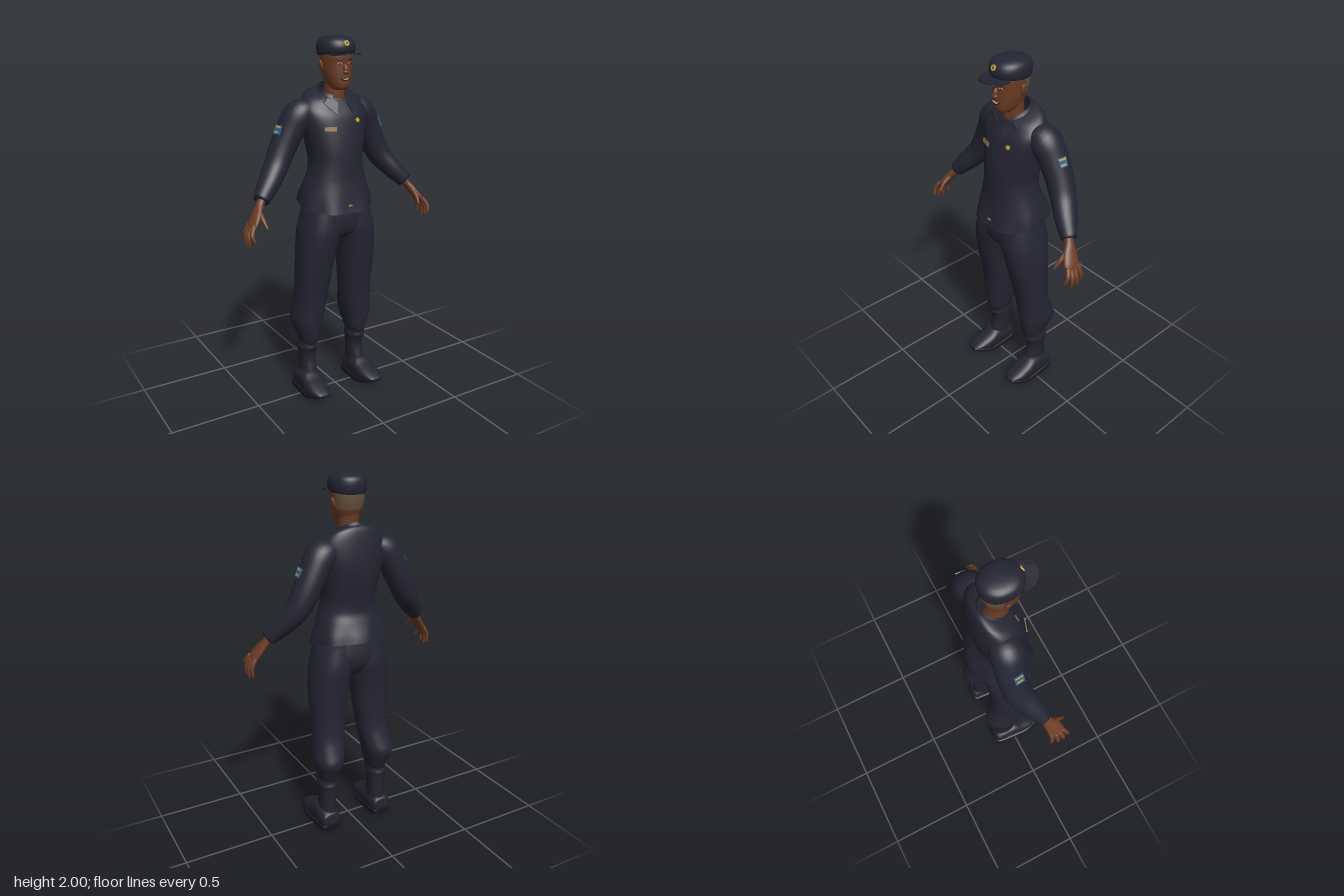
import * as THREE from 'three';
import { mergeVertices } from 'three/addons/utils/BufferGeometryUtils.js';

const mat = (name, color, side = THREE.FrontSide) => {
  const m = new THREE.MeshStandardMaterial({ color, side });
  m.name = name;
  return m;
};

// Catmull-Rom smoothing of rows of numbers
function smooth(rows, sub) {
  const out = [];
  const at = (i) => rows[Math.min(Math.max(i, 0), rows.length - 1)];
  for (let i = 0; i < rows.length - 1; i++) {
    for (let k = 0; k < sub; k++) {
      const t = k / sub;
      out.push(rows[i].map((b, n) => {
        const a = at(i - 1)[n], c = at(i + 1)[n], d = at(i + 2)[n];
        return b + 0.5 * t * (c - a + t * (2 * a - 5 * b + 4 * c - d + t * (3 * (b - c) + d - a)));
      }));
    }
  }
  out.push(rows[rows.length - 1]);
  return out;
}

// Surface over a list of cross-sections, each a list of points
function skin(sections, closed, capped) {
  const n = sections[0].length, pos = [], idx = [];
  sections.forEach((s) => s.forEach((p) => pos.push(p.x, p.y, p.z)));
  for (let i = 0; i < sections.length - 1; i++) {
    for (let j = 0; j < (closed ? n : n - 1); j++) {
      const k = (j + 1) % n, a = i * n + j, b = i * n + k;
      idx.push(a, b, b + n, a, b + n, a + n);
    }
  }
  if (capped) {
    [0, sections.length - 1].forEach((r, top) => {
      const c = new THREE.Vector3();
      sections[r].forEach((p) => c.addScaledVector(p, 1 / n));
      const ci = pos.length / 3;
      pos.push(c.x, c.y, c.z);
      for (let j = 0; j < n; j++) {
        const a = r * n + j, b = r * n + ((j + 1) % n);
        if (top) idx.push(ci, a, b); else idx.push(ci, b, a);
      }
    });
  }
  const g = new THREE.BufferGeometry();
  g.setAttribute('position', new THREE.Float32BufferAttribute(pos, 3));
  g.setIndex(idx);
  g.computeVertexNormals();
  return g;
}

// Upright loft, rows are [y, xMin, xMax, zFront, zBack]
function loft(rows, { p = 2, seg = 32, sub = 4, from = 0, to = Math.PI * 2, grow = 0, capped = true, rule } = {}) {
  const full = to - from > 6.28;
  const pw = (v) => Math.sign(v) * Math.abs(v) ** (2 / p);
  const sections = smooth(rows, sub).map(([y, x0, x1, zf, zb]) =>
    Array.from({ length: full ? seg : seg + 1 }, (_, j) => {
      const a = from + ((to - from) * j) / seg;
      const v = new THREE.Vector3(
        (x0 + x1) / 2 + ((x1 - x0) / 2 + grow) * pw(Math.sin(a)), y,
        (zf + zb) / 2 + ((zf - zb) / 2 + grow) * pw(Math.cos(a)));
      if (rule) rule(v, a);
      return v;
    }));
  return skin(sections, full, full && capped);
}

// Limb along a path, rows are [x, y, z, radius along z, radius across]
function limb(rows, seg = 20, sub = 5) {
  const r = smooth(rows, sub), P = r.map((q) => new THREE.Vector3(q[0], q[1], q[2]));
  return skin(r.map((q, i) => {
    const T = P[Math.min(i + 1, P.length - 1)].clone().sub(P[Math.max(i - 1, 0)]).normalize();
    const U = new THREE.Vector3(0, 0, 1).addScaledVector(T, -T.z).normalize();
    const V = U.clone().cross(T);
    return Array.from({ length: seg }, (_, j) => {
      const a = (j / seg) * Math.PI * 2;
      return P[i].clone().addScaledVector(U, q[3] * Math.sin(a)).addScaledVector(V, q[4] * Math.cos(a));
    });
  }), true, true);
}

function mirrored(geo) {
  const g = geo.index ? geo.clone() : mergeVertices(geo);
  g.scale(-1, 1, 1);
  const a = g.index.array;
  for (let i = 0; i < a.length; i += 3) [a[i], a[i + 1]] = [a[i + 1], a[i]];
  return g;
}

export function createModel() {
  const root = new THREE.Group();
  root.name = 'uniformedFigure';
  const navy = mat('navyCloth', 0x242533, THREE.DoubleSide), bootMat = mat('bootLeather', 0x22232f);
  const soleMat = mat('soleBlack', 0x15161d), skinMat = mat('brownSkin', 0x6b3c25);
  const hairMat = mat('croppedHair', 0x66523f, THREE.DoubleSide), gold = mat('gold', 0xc9a227);
  const tan = mat('tanTag', 0x94784a), blue = mat('patchBlue', 0x2f5f96);
  const white = mat('white', 0xb5a698), dark = mat('darkBrown', 0x2a1812);

  const add = (name, geo, m) => {
    const o = new THREE.Mesh(geo, m);
    o.name = name;
    root.add(o);
    return o;
  };
  const pair = (name, geo, m) => [add(name + 'Left', geo, m), add(name + 'Right', mirrored(geo), m)];
  // Places a thin detail on a surface, facing outward
  const stick = (name, target, geo, m, origin, dir) => {
    const hit = new THREE.Raycaster(new THREE.Vector3(...origin), new THREE.Vector3(...dir)).intersectObject(target)[0];
    if (!hit) return;
    const n = hit.face.normal.clone();
    if (n.dot(new THREE.Vector3(...dir)) > 0) n.negate();
    const o = add(name, geo, m);
    o.position.copy(hit.point);
    o.lookAt(hit.point.clone().add(n));
  };
  const onFront = (name, target, geo, m, x, y) => stick(name, target, geo, m, [x, y, 1], [0, 0, -1]);
  const plate = (w, h, d = 0.008) => new THREE.BoxGeometry(w, h, d);
  const disc = (r, d = 0.008) => new THREE.CylinderGeometry(r, r, d, 16).rotateX(Math.PI / 2);
  const blob = (x, y, z) => new THREE.SphereGeometry(1, 16, 12).scale(x, y, z);

  // Jacket with sloping neckline and wavy flared hem
  const slope = (v) => { v.y -= (v.z + 0.02) * 0.45 * THREE.MathUtils.smoothstep(v.y, 1.58, 1.72); };
  const sym = (rows) => rows.map(([y, r, f, b]) => [y, -r, r, f, b]);
  const jacket = add('jacket', loft(sym([
    [1.115, 0.205, 0.172, -0.183], [1.17, 0.195, 0.156, -0.168], [1.24, 0.173, 0.14, -0.145],
    [1.29, 0.157, 0.135, -0.126], [1.35, 0.147, 0.132, -0.128], [1.42, 0.155, 0.128, -0.14],
    [1.5, 0.17, 0.117, -0.152], [1.58, 0.187, 0.1, -0.153], [1.64, 0.185, 0.08, -0.145],
    [1.685, 0.15, 0.06, -0.132], [1.705, 0.1, 0.05, -0.115], [1.712, 0.066, 0.045, -0.1],
  ]), { p: 2.3, seg: 64, capped: false, rule: (v, a) => {
    const k = 1 - THREE.MathUtils.smoothstep(v.y, 1.11, 1.27), w = 1 + 0.03 * k * Math.cos(7 * a + Math.PI);
    v.x *= w;
    v.z *= w;
    v.y -= v.z * 0.14 * k;
    slope(v);
  } }), navy);

  // Collar band and pointed wings
  add('collar', loft(sym([[1.68, 0.1, 0.07, -0.125], [1.705, 0.082, 0.055, -0.113], [1.725, 0.07, 0.045, -0.1]]),
    { from: 0.5, to: Math.PI * 2 - 0.5, rule: slope }), navy);
  const wing = new THREE.ExtrudeGeometry(new THREE.Shape([[0.025, 1.665], [0.05, 1.607], [0.1, 1.665], [0.075, 1.69]]
    .map((q) => new THREE.Vector2(...q))), { depth: 0.008, bevelEnabled: false });
  const wp = wing.attributes.position;
  for (let i = 0; i < wp.count; i++) wp.setZ(i, wp.getZ(i) + 0.1 + (1.61 - wp.getY(i)) * 0.6 - 2 * wp.getX(i) ** 2);
  wing.computeVertexNormals();
  pair('collarWing', wing, navy);

  // Sleeves
  const sleeves = pair('sleeve', limb([
    [0.13, 1.63, -0.05, 0.07, 0.055], [0.185, 1.6, -0.055, 0.085, 0.08], [0.235, 1.52, -0.065, 0.08, 0.075],
    [0.285, 1.42, -0.068, 0.075, 0.07], [0.33, 1.335, -0.055, 0.07, 0.064],
    [0.395, 1.255, -0.015, 0.06, 0.055], [0.455, 1.187, 0.02, 0.042, 0.042],
  ], 28), navy);

  // Hands: palm, thumb and four fingers
  pair('palm', limb([
    [0.44, 1.21, 0.015, 0.026, 0.022], [0.465, 1.17, 0.027, 0.026, 0.021], [0.495, 1.125, 0.048, 0.04, 0.02],
    [0.522, 1.085, 0.063, 0.046, 0.018], [0.537, 1.06, 0.065, 0.042, 0.013],
  ]), skinMat);
  const fingers = {
    indexFinger: [[0.53, 1.085, 0.095], [0.553, 1.045, 0.117], [0.544, 1.005, 0.133]],
    middleFinger: [[0.535, 1.07, 0.077], [0.56, 1.025, 0.09], [0.557, 0.975, 0.095]],
    ringFinger: [[0.535, 1.07, 0.055], [0.56, 1.02, 0.06], [0.557, 0.968, 0.06]],
    littleFinger: [[0.53, 1.08, 0.033], [0.553, 1.035, 0.028], [0.552, 0.985, 0.022]],
    thumb: [[0.48, 1.145, 0.05], [0.482, 1.11, 0.1], [0.475, 1.067, 0.138]],
  };
  for (const [name, pts] of Object.entries(fingers)) {
    pair(name, limb(pts.map((q, i) => [...q, ...[[0.014, 0.014], [0.012, 0.012], [0.006, 0.006]][i]]), 10, 4), skinMat);
  }

  // Trousers: hips and baggy legs gathered above the boots
  add('trouserHips', loft(sym([[0.93, 0.06, 0.08, -0.08], [0.97, 0.16, 0.125, -0.118],
    [1.03, 0.2, 0.14, -0.137], [1.1, 0.188, 0.138, -0.13], [1.2, 0.15, 0.115, -0.11]]), { p: 2.3 }), navy);
  pair('trouserLeg', loft([
    [0.3, 0.118, 0.205, 0.025, -0.108], [0.325, 0.105, 0.212, 0.037, -0.12], [0.36, 0.095, 0.222, 0.045, -0.135],
    [0.43, 0.08, 0.243, 0.055, -0.165], [0.5, 0.065, 0.24, 0.06, -0.145], [0.6, 0.052, 0.232, 0.07, -0.12],
    [0.8, 0.03, 0.232, 0.112, -0.12], [0.92, 0.006, 0.224, 0.133, -0.13], [1.0, -0.015, 0.213, 0.14, -0.135],
    [1.12, -0.015, 0.18, 0.13, -0.12],
  ], { p: 2.3 }), navy);

  // Boots: shaft, foot and sole
  pair('bootShaft', loft([
    [0.05, 0.115, 0.215, 0.04, -0.115], [0.13, 0.117, 0.207, 0.025, -0.11], [0.2, 0.115, 0.208, 0.008, -0.108],
    [0.25, 0.111, 0.213, 0.015, -0.112], [0.275, 0.107, 0.217, 0.028, -0.118], [0.295, 0.111, 0.212, 0.025, -0.112],
    [0.33, 0.113, 0.205, 0.025, -0.11],
  ], { p: 2.2 }), bootMat);
  const along = (rows, p) => loft(rows.map(([z, x0, x1, y0, y1]) => [z, x0, x1, -y0, -y1]), { p }).rotateX(Math.PI / 2);
  pair('bootFoot', along([
    [-0.12, 0.13, 0.21, 0.02, 0.08], [-0.105, 0.115, 0.225, 0.01, 0.11], [0, 0.11, 0.232, 0.01, 0.135],
    [0.06, 0.108, 0.237, 0.01, 0.11], [0.12, 0.117, 0.233, 0.022, 0.088], [0.165, 0.135, 0.215, 0.04, 0.068],
    [0.18, 0.15, 0.2, 0.048, 0.058],
  ], 2.5), bootMat);
  pair('bootSole', along([
    [-0.125, 0.125, 0.215, 0, 0.035], [-0.1, 0.108, 0.232, 0, 0.035], [0.05, 0.102, 0.243, 0, 0.03],
    [0.1, 0.108, 0.24, 0.01, 0.037], [0.16, 0.13, 0.222, 0.033, 0.052], [0.184, 0.148, 0.202, 0.046, 0.056],
  ], 5), soleMat);

  // Head and neck
  add('neck', loft(sym([[1.6, 0.065, 0.03, -0.09], [1.67, 0.058, 0.045, -0.078], [1.74, 0.055, 0.048, -0.062],
    [1.8, 0.06, 0.05, -0.068]])), skinMat);
  const headRows = sym([
    [1.727, 0.022, 0.078, 0], [1.735, 0.04, 0.09, -0.02], [1.755, 0.054, 0.098, -0.045], [1.785, 0.065, 0.1, -0.063],
    [1.82, 0.074, 0.1, -0.078], [1.86, 0.079, 0.1, -0.087], [1.9, 0.081, 0.105, -0.09], [1.94, 0.078, 0.095, -0.086],
  ]);
  const head = add('head', loft(headRows, { p: 2.2, seg: 40 }), skinMat);
  add('croppedHair', loft(headRows.slice(4), { p: 2.2, from: Math.PI * 0.56, to: Math.PI * 1.44, grow: 0.002 }), hairMat);
  add('nose', blob(0.012, 0.026, 0.016).rotateX(-0.25).translate(0, 1.835, 0.102), skinMat);
  add('noseTip', blob(0.017, 0.01, 0.014).translate(0, 1.82, 0.107), skinMat);
  pair('ear', blob(0.01, 0.03, 0.018).rotateZ(-0.2).translate(0.085, 1.85, 0), skinMat);
  for (const s of [-1, 1]) {
    onFront('eye', head, blob(0.012, 0.005, 0.003), white, s * 0.03, 1.862);
    onFront('pupil', head, disc(0.0045), dark, s * 0.03, 1.862);
    onFront('eyebrow', head, blob(0.018, 0.004, 0.004), dark, s * 0.033, 1.882);
  }
  const smile = (w, h) => {
    const s = new THREE.Shape();
    s.moveTo(-w, 0.005);
    s.quadraticCurveTo(0, -h, w, 0.005);
    s.quadraticCurveTo(0, -0.003, -w, 0.005);
    return new THREE.ExtrudeGeometry(s, { depth: 0.006, bevelEnabled: false });
  };
  onFront('lips', head, smile(0.03, 0.026).translate(0, 0, -0.002), dark, 0, 1.785);
  onFront('teeth', head, smile(0.022, 0.016), white, 0, 1.785);

  // Cap with brim
  const cap = add('cap', loft(sym([
    [1.902, 0.087, 0.107, -0.093], [1.915, 0.093, 0.114, -0.098], [1.945, 0.095, 0.116, -0.102],
    [1.972, 0.088, 0.106, -0.096], [1.989, 0.068, 0.082, -0.074], [1.997, 0.04, 0.05, -0.042], [2, 0.008, 0.012, -0.004],
  ]), { p: 2.15, seg: 40, rule: (v) => { v.y += v.z * 0.08 * (1 - THREE.MathUtils.smoothstep(v.y, 1.9, 1.96)); } }), navy);
  const brimShape = new THREE.Shape();
  brimShape.absellipse(0, 0.08, 0.082, 0.107, 0, Math.PI);
  const brim = new THREE.ExtrudeGeometry(brimShape, { depth: 0.007, bevelEnabled: false, curveSegments: 32 });
  brim.rotateX(Math.PI / 2);
  const bp = brim.attributes.position;
  for (let i = 0; i < bp.count; i++) bp.setY(i, bp.getY(i) + 1.928 - (bp.getZ(i) - 0.08) * 0.1 - 2.5 * bp.getX(i) ** 2);
  brim.computeVertexNormals();
  add('capBrim', brim, navy);
  onFront('capBadge', cap, disc(0.015), gold, 0, 1.962);
  onFront('capBadgeCentre', cap, disc(0.007, 0.0095), blue, 0, 1.962);

  // Chest tag, pin, hem button and sleeve patches
  onFront('nameTag', jacket, plate(0.065, 0.022), tan, -0.085, 1.535);
  onFront('chestPin', jacket, disc(0.012), gold, 0.08, 1.57);
  onFront('hemButton', jacket, plate(0.022, 0.01), tan, 0, 1.13);
  sleeves.forEach((sleeve, i) => {
    const s = i ? -1 : 1;
    const put = (name, geo, m, y) => stick(name, sleeve, geo, m, [s, y, -0.055], [-s, 0, 0]);
    put('sleevePatch', plate(0.05, 0.05, 0.009), blue, 1.53);
    put('patchStripeTop', plate(0.044, 0.01, 0.0099), gold, 1.544);
    put('patchStripeLow', plate(0.034, 0.01, 0.0099), gold, 1.518);
  });
  return root;
}
